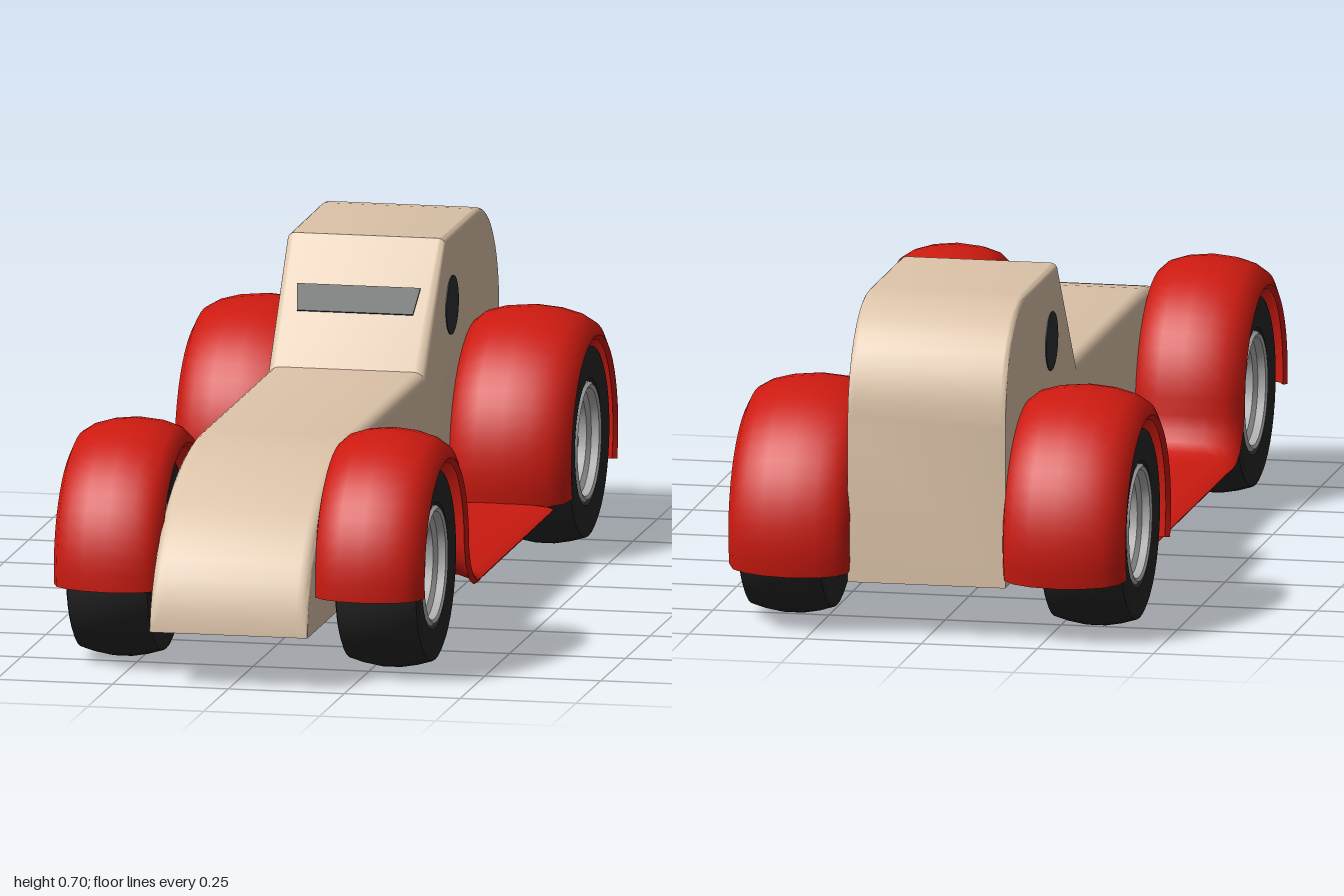
import * as THREE from 'three';
import { toCreasedNormals } from 'three/addons/utils/BufferGeometryUtils.js';

const paint = (color, side = THREE.FrontSide) => new THREE.MeshStandardMaterial({ color, side });
const wood = paint(0xdcc3a8);
const red = paint(0xcc1a10, THREE.DoubleSide);
const rubber = paint(0x262626);
const metal = paint(0xb4b4b4);
const glass = paint(0x2b2f31);

function mesh(name, geometry, material, parent) {
  const m = new THREE.Mesh(geometry, material);
  m.name = name;
  parent.add(m);
  return m;
}

// Skin over closed rings of [x, y, z]; point j faces point n-1-j, which gives the end caps.
function loft(rings, flip = false, crease = 0.6) {
  const n = rings[0].length, last = (rings.length - 1) * n, index = [];
  const tri = (a, b, c) => (flip ? index.push(a, c, b) : index.push(a, b, c));
  for (let i = 0; i < rings.length - 1; i++) {
    for (let j = 0; j < n; j++) {
      const a = i * n + j, b = i * n + ((j + 1) % n);
      tri(a, b, b + n);
      tri(a, b + n, a + n);
    }
  }
  for (let j = 0; j < n / 2 - 1; j++) {
    const quad = [j, j + 1, n - 2 - j, n - 1 - j];
    tri(quad[0], quad[2], quad[1]);
    tri(quad[0], quad[3], quad[2]);
    const [a, b, c, d] = quad.map((k) => k + last);
    tri(a, b, c);
    tri(a, c, d);
  }
  const g = new THREE.BufferGeometry();
  g.setAttribute('position', new THREE.Float32BufferAttribute(rings.flat(2), 3));
  g.setIndex(index);
  return toCreasedNormals(g, crease);
}

// Body: slab sections with rounded upper edges, following the roof line from nose to tail.
function bodyGeometry() {
  const bottom = 0.115, half = 0.17, line = []; // [z, top, edge radius]
  for (let i = 0; i <= 14; i++) {
    const t = Math.max(0.015, (i / 14) * Math.PI / 2);
    line.push([0.5 + 0.5 * Math.cos(t), bottom + 0.34 * Math.sin(t), 0.025]);
  }
  line.push([-0.2, 0.455, 0.025], [-0.4, 0.705, 0.015]);
  for (let i = 0; i <= 10; i++) {
    const t = (i / 10) * Math.PI / 2;
    line.push([-0.73 - 0.215 * Math.sin(t), 0.47 + 0.235 * Math.cos(t), 0.012]);
  }
  return loft(line.map(([z, top, radius]) => {
    const r = Math.min(radius, (top - bottom) * 0.6), side = [[-half, bottom, z]];
    for (let k = 0; k <= 4; k++) {
      const a = (k / 4) * Math.PI / 2;
      side.push([-half + r * (1 - Math.cos(a)), top - r * (1 - Math.sin(a)), z]);
    }
    return [...side, ...side.map(([x, y]) => [-x, y, z]).reverse()];
  }));
}

// Fender: a crowned thin section swept along a path of [z, y, crown amount].
function fenderGeometry(path, xIn, xOut, s) {
  const crown = [[0, 0.05], [0.02, 0.033], [0.1, 0.016], [0.25, 0.005], [0.47, 0],
    [0.68, 0.005], [0.84, 0.016], [0.95, 0.033], [1, 0.06]];
  const rings = path.map(([z, y, amount], i) => {
    const p = path[Math.max(i - 1, 0)], q = path[Math.min(i + 1, path.length - 1)];
    const len = Math.hypot(q[0] - p[0], q[1] - p[1]);
    const nz = (q[1] - p[1]) / len, ny = -(q[0] - p[0]) / len;
    const at = (u, d) => [s * (xIn + (xOut - xIn) * u), y - ny * d, z - nz * d];
    const outer = crown.map(([u, d]) => at(u, d * amount));
    const inner = crown.map(([u, d]) => at(0.5 + (u - 0.5) * 0.93, d * amount + 0.01));
    return [...outer, ...inner.reverse()];
  });
  return loft(rings, s < 0, 0.7);
}

function arc(cz, cy, r, from, to, steps) {
  return Array.from({ length: steps + 1 }, (_, i) => {
    const a = THREE.MathUtils.degToRad(from + ((to - from) * i) / steps);
    return [cz + r * Math.cos(a), cy + r * Math.sin(a), 1];
  });
}

function lathe(points) {
  const g = new THREE.LatheGeometry(points.map(([r, y]) => new THREE.Vector2(r, y)), 40);
  return toCreasedNormals(g.rotateZ(-Math.PI / 2), 0.6);
}

// Wheel with its outer face toward +x
function makeWheel(name) {
  const wheel = new THREE.Group();
  wheel.name = name;
  mesh('tyre', lathe([[0.126, -0.07], [0.135, -0.085], [0.192, -0.09], [0.202, -0.086], [0.211, -0.055],
    [0.217, -0.02], [0.217, 0.02], [0.211, 0.055], [0.202, 0.086], [0.192, 0.09], [0.135, 0.085],
    [0.126, 0.07], [0.126, -0.07]]), rubber, wheel);
  mesh('rim', lathe([[0, -0.07], [0.128, -0.07], [0.128, 0.082], [0.122, 0.088], [0.115, 0.084],
    [0.112, 0.068], [0.1, 0.06], [0.095, 0.025], [0.06, 0.015], [0.04, 0.02], [0.034, 0.045],
    [0.029, 0.05], [0.015, 0.051], [0.013, 0.062], [0, 0.065]]), metal, wheel);
  return wheel;
}

export function createModel() {
  const car = new THREE.Group();
  car.name = 'car';
  mesh('body', bodyGeometry(), wood, car);

  // Windscreen slit lying on the sloping cab front
  const slit = new THREE.Shape([[-0.125, -0.032], [0.125, -0.032], [0.133, 0.032], [-0.133, 0.032]]
    .map(([x, y]) => new THREE.Vector2(x, y)));
  const screen = mesh('windscreen', new THREE.ExtrudeGeometry(slit, { depth: 0.004, bevelEnabled: false }), glass, car);
  screen.position.set(0, 0.585, -0.304);
  screen.rotation.x = -Math.atan2(0.2, 0.25);

  // Round side windows
  const port = mesh('sideWindows', new THREE.CylinderGeometry(0.063, 0.063, 0.344, 32).rotateZ(Math.PI / 2), glass, car);
  port.position.set(0, 0.55, -0.465);

  // The front fender sweeps down into the running board
  const frontPath = [...arc(0.665, 0.22, 0.285, -7, 180, 26), [0.375, 0.19, 0.85], [0.362, 0.167, 0.65],
    [0.34, 0.15, 0.45], [0.31, 0.141, 0.3], [0.27, 0.137, 0.2], [-0.42, 0.137, 0.15]];
  const rearPath = arc(-0.703, 0.209, 0.297, 196, -16, 30).reverse();

  for (const s of [1, -1]) {
    const side = s > 0 ? 'left' : 'right';
    mesh(side + 'FrontFenderAndBoard', fenderGeometry(frontPath, 0.165, 0.4, s), red, car);
    mesh(side + 'RearFender', fenderGeometry(rearPath, 0.165, 0.428, s), red, car);
    for (const [end, x, z] of [['Front', 0.29, 0.67], ['Rear', 0.326, -0.715]]) {
      const wheel = makeWheel(side + end + 'Wheel');
      wheel.position.set(s * x, 0.217, z);
      if (s < 0) wheel.rotation.y = Math.PI;
      car.add(wheel);
    }
  }

  // Axles
  for (const z of [0.67, -0.715]) {
    const axle = mesh('axle', new THREE.CylinderGeometry(0.02, 0.02, 0.5, 16).rotateZ(Math.PI / 2), metal, car);
    axle.position.set(0, 0.217, z);
  }
  return car;
}
